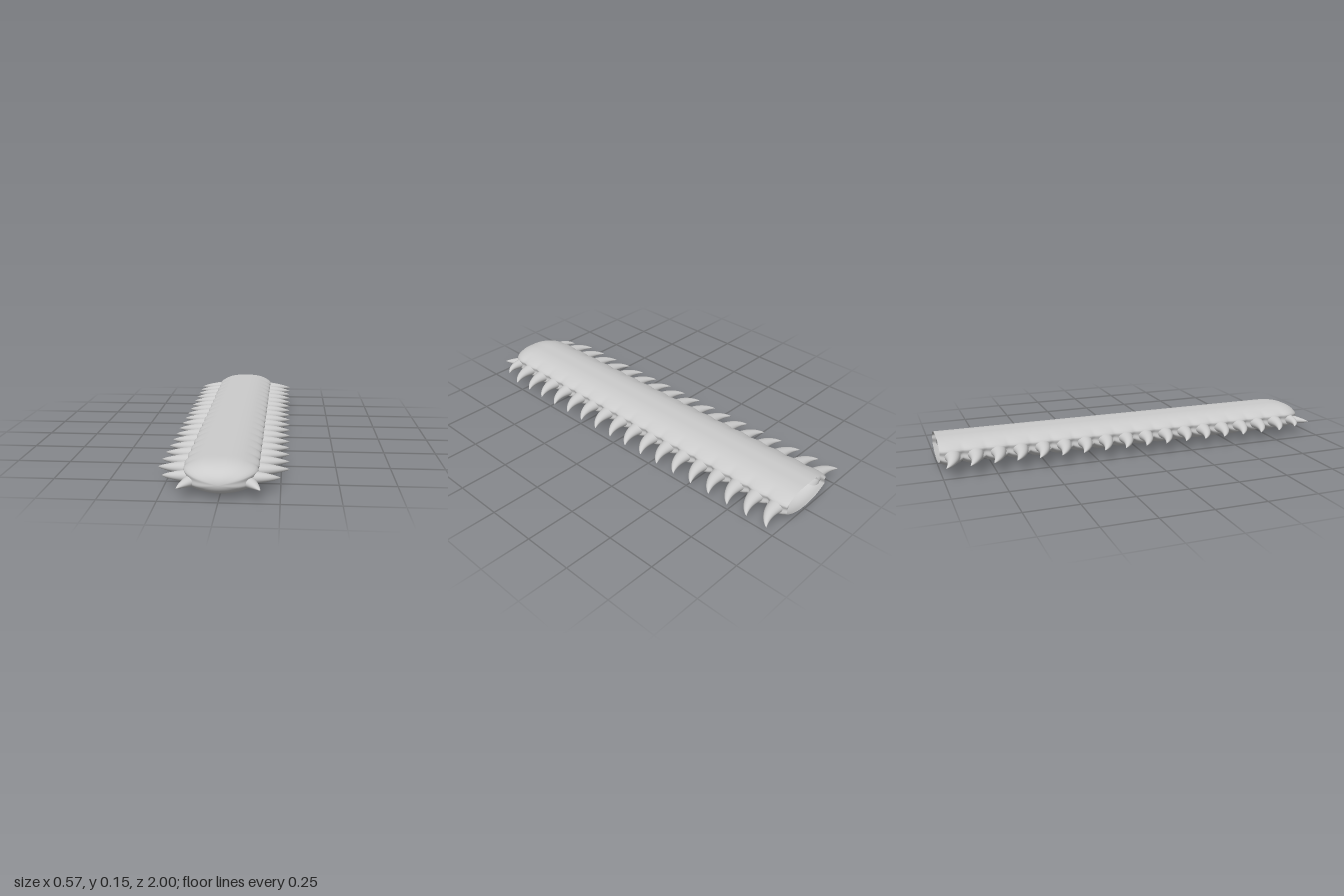
import * as THREE from 'three';

const PITCH = 0.108, FIRST = -0.945, COUNT = 17;
const V = (x, y, z) => new THREE.Vector3(x, y, z);

// Skin a list of closed rings with a smooth surface
function loft(rings) {
  const n = rings[0].length, pos = [], idx = [];
  rings.forEach(r => r.forEach(p => pos.push(p.x, p.y, p.z)));
  for (let i = 0; i < rings.length - 1; i++) {
    for (let j = 0; j < n; j++) {
      const k = (j + 1) % n, a = i * n + j, b = i * n + k;
      idx.push(a, b, b + n, a, b + n, a + n);
    }
  }
  const g = new THREE.BufferGeometry();
  g.setAttribute('position', new THREE.Float32BufferAttribute(pos, 3));
  g.setIndex(idx);
  g.computeVertexNormals();
  return g;
}

// Half outline of the body from the belly up to the back, mirrored and closed
function bodyOutline() {
  const half = [[0.065, 0.009], [0.12, 0.026], [0.16, 0.05], [0.157, 0.08],
    [0.161, 0.106], [0.105, 0.135], [0.05, 0.146]];
  const pts = [V(0, 0.002, 0), ...half.map(([x, y]) => V(x, y, 0)), V(0, 0.147, 0),
    ...half.slice().reverse().map(([x, y]) => V(-x, y, 0))];
  return new THREE.CatmullRomCurve3(pts, true).getPoints(64).slice(0, 64);
}

// Long hollow body: scalloped belly and sides, rounded nose, open back end
function bodyGeometry() {
  const outline = bodyOutline(), yMid = 0.07, noseStart = 0.8, noseLength = 0.187;
  const stations = [];
  for (let i = 0; i < 200; i++) stations.push(-1 + (noseStart + 1) * i / 200);
  for (let i = 0; i <= 28; i++) stations.push(noseStart + noseLength * Math.sin(i / 28 * Math.PI / 2));
  return loft(stations.map(z => {
    const t = Math.max(0, (z - noseStart) / noseLength);
    const taper = Math.sqrt(Math.max(0, 1 - t ** 3));
    const u = (z - FIRST) / PITCH, d = 2 * (u - Math.round(u));
    const groove = d * d * (1 - t);
    return outline.map(p => {
      const low = THREE.MathUtils.clamp((0.1 - p.y) / 0.07, 0, 1);
      const side = THREE.MathUtils.smoothstep(Math.abs(p.x), 0.08, 0.16);
      const x = p.x * (1 - 0.06 * groove * side);
      const y = p.y + 0.018 * groove * low;
      return V(x * taper, yMid + (y - yMid) * taper, z);
    });
  }));
}

// Curved, pointed spike with an oval section
function spikeGeometry(root, bend, tip, width, height) {
  const curve = new THREE.QuadraticBezierCurve3(root, bend, tip);
  const rings = [];
  for (let i = 0; i <= 18; i++) {
    const t = i / 18, c = curve.getPoint(t), T = curve.getTangent(t);
    const L = V(0, 1, 0).cross(T).normalize(), U = T.clone().cross(L);
    const r = Math.max(0.0005, (1 - t) ** 0.8);
    rings.push(Array.from({ length: 20 }, (_, j) => {
      const a = j / 20 * Math.PI * 2;
      return c.clone().addScaledVector(L, Math.cos(a) * width * r)
        .addScaledVector(U, Math.sin(a) * height * r);
    }));
  }
  return loft(rings);
}

export function createModel() {
  const model = new THREE.Group();
  model.name = 'spikedBody';
  const material = new THREE.MeshStandardMaterial({ color: 0xcccccc, side: THREE.DoubleSide });
  const add = (name, geometry) => {
    const mesh = new THREE.Mesh(geometry, material);
    mesh.name = name;
    model.add(mesh);
  };
  add('body', bodyGeometry());

  for (const s of [1, -1]) {
    const side = s > 0 ? 'left' : 'right';
    // Row of side spikes sweeping backwards
    for (let i = 0; i < COUNT; i++) {
      const z = FIRST + i * PITCH;
      add(`${side}Spike${i + 1}`, spikeGeometry(
        V(s * 0.115, 0.078, z + 0.002), V(s * 0.225, 0.082, z + 0.012),
        V(s * 0.286, 0.066, z - 0.043), 0.044, 0.035));
    }
    // Shorter spike behind the nose
    add(`${side}ShortSpike`, spikeGeometry(
      V(s * 0.11, 0.075, 0.885), V(s * 0.21, 0.08, 0.9),
      V(s * 0.25, 0.066, 0.858), 0.034, 0.03));
    // Forward-pointing spike on the nose
    add(`${side}NoseSpike`, spikeGeometry(
      V(s * 0.095, 0.066, 0.885), V(s * 0.14, 0.066, 0.945),
      V(s * 0.17, 0.058, 1), 0.042, 0.032));
  }
  return model;
}
